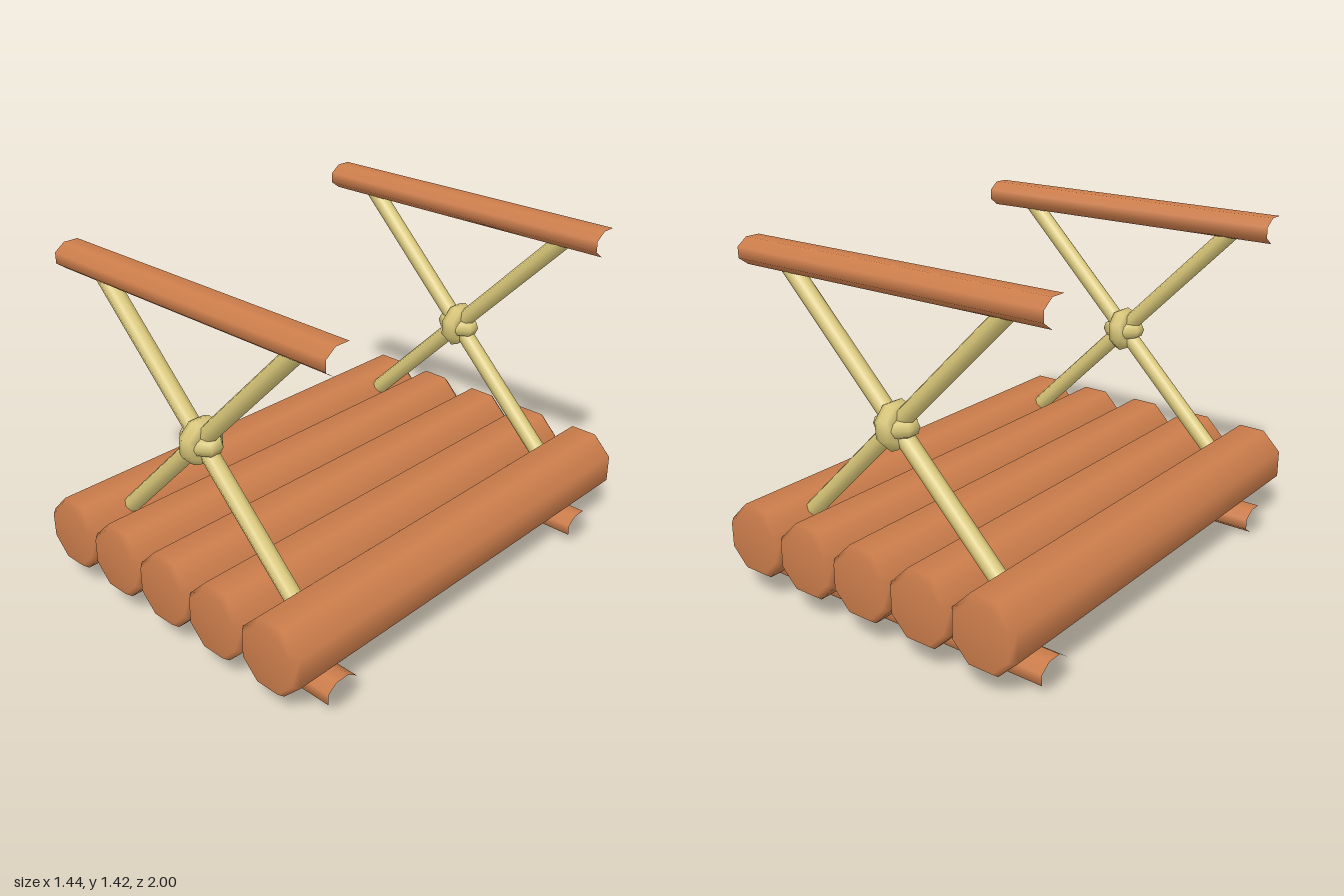
import * as THREE from 'three';

export function createModel() {
  const model = new THREE.Group();
  model.name = 'logRaft';
  const wood = new THREE.MeshStandardMaterial({ color: 0xcc7d4b });
  wood.name = 'brownWood';
  const cane = new THREE.MeshStandardMaterial({ color: 0xd8c678 });
  cane.name = 'yellowCane';

  const add = (name, geometry, material, x, y, z, parent = model) => {
    const mesh = new THREE.Mesh(geometry, material);
    mesh.name = name;
    mesh.position.set(x, y, z);
    parent.add(mesh);
    return mesh;
  };
  const corner = 1 / Math.cos(Math.PI / 8); // octagon: apothem to corner radius

  // Deck: five octagonal logs with softly bevelled ends
  const r = 0.143 * corner;
  const profile = [[0, -1], [r - 0.022, -1], [r, -0.975], [r, 0.975], [r - 0.022, 1], [0, 1]]
    .map(([x, y]) => new THREE.Vector2(x, y));
  const logGeometry = new THREE.LatheGeometry(profile, 8)
    .rotateY(Math.PI / 8)
    .rotateX(Math.PI / 2);
  for (let i = -2; i <= 2; i++) add('deckLog', logGeometry, wood, i * 0.288, 0.249, 0);

  // Flattened, hollow octagonal rails running across
  const railGeometry = new THREE.CylinderGeometry(corner, corner, 1.44, 8, 1, true)
    .rotateY(Math.PI / 8)
    .rotateZ(Math.PI / 2)
    .scale(1, 0.0535, 0.075);

  // Crossed poles and the lashing that ties them
  const poleGeometry = new THREE.CylinderGeometry(0.037, 0.037, 1.51, 8, 1, true);
  const uprightLoop = new THREE.TorusGeometry(0.06, 0.04, 8, 8)
    .rotateZ(Math.PI / 8)
    .rotateY(Math.PI / 2);
  const flatLoop = new THREE.TorusGeometry(0.062, 0.038, 8, 8)
    .rotateZ(Math.PI / 8)
    .rotateX(Math.PI / 2)
    .scale(1, 1, 0.72);

  for (const side of [1, -1]) {
    const z = side * 0.764;
    add('bottomRail', railGeometry, wood, 0, 0.0535, z);
    add('topRail', railGeometry, wood, 0, 1.3665, z);

    const frame = new THREE.Group();
    frame.name = side > 0 ? 'frontCrossFrame' : 'backCrossFrame';
    frame.position.set(0, 0.812, z);
    model.add(frame);
    for (const lean of [1, -1]) {
      add('crossPole', poleGeometry, cane, 0, 0, 0, frame).rotation.z = lean * Math.PI / 4;
    }
    add('uprightLashing', uprightLoop, cane, 0, 0, 0, frame).rotation.z = -0.06;
    add('flatLashing', flatLoop, cane, 0, 0, 0, frame).rotation.z = -0.06;
  }
  return model;
}
